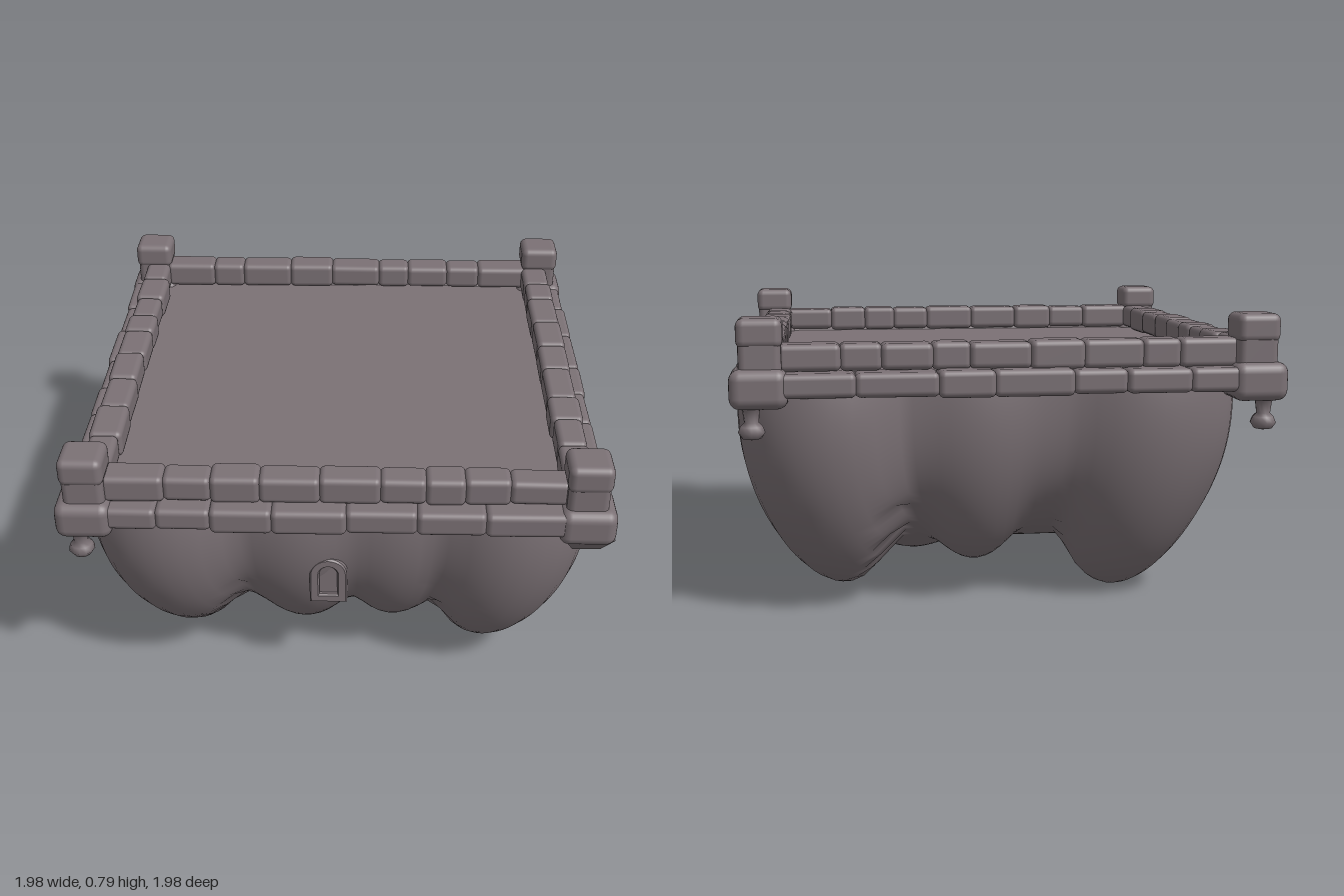
import * as THREE from 'three';
import { RoundedBoxGeometry } from 'three/addons/geometries/RoundedBoxGeometry.js';

const stone = new THREE.MeshStandardMaterial({ color: 0x7b7175 });
stone.name = 'warm grey stone';

let seed = 7;
const rnd = () => (seed = (seed * 16807) % 2147483647) / 2147483647;

function add(parent, name, geometry, x = 0, y = 0, z = 0) {
  const mesh = new THREE.Mesh(geometry, stone);
  mesh.name = name;
  mesh.position.set(x, y, z);
  parent.add(mesh);
  return mesh;
}

// Rock lobes: x, z, horizontal radius, lowest point
const LOBES = [
  [-0.46, 0.46, 0.23, 0.05], [0.475, 0.485, 0.23, 0.05],
  [0.41, -0.38, 0.265, 0.0], [-0.455, -0.45, 0.23, 0.1],
  [0.0, -0.39, 0.25, 0.0], [-0.43, -0.10, 0.21, 0.09],
  [-0.44, 0.17, 0.19, 0.11], [-0.12, 0.44, 0.19, 0.12],
  [0.16, 0.45, 0.18, 0.11], [0.44, 0.08, 0.2, 0.1],
  [-0.24, 0.24, 0.26, 0.1], [0.25, 0.25, 0.26, 0.1],
];
const TOP = 0.61, LOBE_Y = 0.51;

// Distance from the rock's top centre to its skin along a direction
function rockRadius(d) {
  const p = 26, side = 0.618, depth = 0.5;
  const flat = (Math.abs(d.x / side) ** 10 + Math.abs(d.z / side) ** 10) ** 0.1;
  const core = (flat ** 3 + Math.abs(d.y / depth) ** 3) ** (-1 / 3);
  let sum = core ** p;
  for (const [x, z, r, low] of LOBES) {
    const h = LOBE_Y - low;
    const D = new THREE.Vector3(d.x / r, d.y / h, d.z / r);
    const O = new THREE.Vector3(-x / r, (TOP - LOBE_Y) / h, -z / r);
    const a = D.dot(D), b = O.dot(D), disc = b * b - a * (O.dot(O) - 1);
    if (disc <= 0) continue;
    const t = (-b + Math.sqrt(disc)) / a;
    if (t > 0) sum += t ** p;
  }
  return sum ** (1 / p) * 0.985;
}

// Point on the rock's skin, drawn inward towards the underside
function rockPoint(direction) {
  const q = direction.clone().multiplyScalar(rockRadius(direction));
  const taper = 1 - 0.13 * (q.y / TOP) ** 2;
  return q.set(q.x * taper, Math.max(0, q.y + TOP), q.z * taper);
}

// Lobed rock as rings running from the rim down to the underside
function rockGeometry() {
  const N = 128, M = 56, pos = [], idx = [];
  for (let j = 0; j <= M; j++) {
    const e = (j / M) * Math.PI / 2;
    for (let i = 0; i < N; i++) {
      const a = (i / N) * Math.PI * 2;
      const q = rockPoint(new THREE.Vector3(Math.cos(e) * Math.cos(a), -Math.sin(e), Math.cos(e) * Math.sin(a)));
      pos.push(q.x, q.y, q.z);
      if (j < M) {
        const k = (i + 1) % N, p = j * N;
        idx.push(p + i, p + k, p + N + i, p + k, p + N + k, p + N + i);
      }
    }
  }
  const g = new THREE.BufferGeometry();
  g.setAttribute('position', new THREE.Float32BufferAttribute(pos, 3));
  g.setIndex(idx);
  g.computeVertexNormals();
  return g;
}

// A row of uneven stones along local x
function course(parent, name, count, length, y, z, height, depth) {
  const weights = Array.from({ length: count }, () => 0.75 + rnd() * 0.5);
  const total = weights.reduce((a, b) => a + b, 0);
  let x = -length / 2;
  for (const weight of weights) {
    const w = (weight / total) * length;
    const h = height + (rnd() - 0.5) * 0.01, t = depth + (rnd() - 0.5) * 0.014;
    const s = add(parent, name, new RoundedBoxGeometry(w + 0.004, h, t, 3, 0.016), x + w / 2, y, z + (rnd() - 0.5) * 0.006);
    s.rotation.y = (rnd() - 0.5) * 0.03;
    x += w;
  }
}

function archShape(w, h) {
  const s = new THREE.Shape();
  s.moveTo(-w, -h);
  s.lineTo(w, -h);
  s.lineTo(w, h - w);
  s.absarc(0, h - w, w, 0, Math.PI, false);
  s.lineTo(-w, -h);
  return s;
}

export function createModel() {
  const model = new THREE.Group();
  model.name = 'floatingStonePlatform';
  const island = new THREE.Group();
  island.name = 'island';
  island.rotation.y = 0.713;
  model.add(island);

  add(island, 'rock', rockGeometry());
  add(island, 'floor', new THREE.BoxGeometry(1.22, 0.06, 1.22), 0, 0.628, 0);

  // Four walls: a wide ledge with a narrower parapet on top
  for (let k = 0; k < 4; k++) {
    const wall = new THREE.Group();
    wall.name = 'wall';
    wall.rotation.y = k * Math.PI / 2;
    island.add(wall);
    course(wall, 'ledgeStone', 7, 1.2, 0.632, 0.652, 0.066, 0.1);
    course(wall, 'parapetStone', 9, 1.18, 0.698, 0.618, 0.072, 0.082);
  }

  // Corner posts; three carry hanging knobs and one a tapered bracket
  for (const [sx, sz] of [[1, 1], [1, -1], [-1, -1], [-1, 1]]) {
    const post = new THREE.Group();
    post.name = 'cornerPost';
    post.position.set(sx * 0.638, 0, sz * 0.638);
    island.add(post);
    add(post, 'postBase', new RoundedBoxGeometry(0.145, 0.1, 0.145, 3, 0.028), 0, 0.625, 0);
    add(post, 'postShaft', new RoundedBoxGeometry(0.106, 0.12, 0.106, 2, 0.018), -sx * 0.004, 0.71, -sz * 0.004);
    add(post, 'postCap', new RoundedBoxGeometry(0.114, 0.075, 0.114, 3, 0.02), -sx * 0.004, 0.762, -sz * 0.004);
    if (sx < 0 && sz > 0) {
      const bracket = new THREE.CylinderGeometry(0.092, 0.05, 0.05, 4).rotateY(Math.PI / 4);
      add(post, 'bracket', bracket, 0.005, 0.567, 0.005);
    } else {
      const profile = [[0, 0.495], [0.024, 0.5], [0.034, 0.515], [0.028, 0.53], [0.018, 0.54], [0.022, 0.57], [0.04, 0.59]];
      const knob = new THREE.LatheGeometry(profile.map(([x, y]) => new THREE.Vector2(x, y)), 12);
      add(post, 'hangingKnob', knob, sx * 0.02, 0, sz * 0.02);
    }
  }

  // Small arched window set in the rock's side
  const windowGroup = new THREE.Group();
  windowGroup.name = 'archWindow';
  const spot = rockPoint(new THREE.Vector3(-0.6, -0.22, -0.02).normalize());
  windowGroup.position.set(spot.x + 0.005, spot.y, spot.z);
  windowGroup.rotation.y = -Math.PI / 2;
  island.add(windowGroup);
  const frame = archShape(0.046, 0.068);
  frame.holes.push(archShape(0.028, 0.05));
  add(windowGroup, 'windowFrame', new THREE.ExtrudeGeometry(frame, {
    depth: 0.05, bevelThickness: 0.005, bevelSize: 0.004, bevelSegments: 1, curveSegments: 8,
  }), 0, 0, -0.03);
  add(windowGroup, 'windowPane', new THREE.ShapeGeometry(archShape(0.03, 0.052), 8), 0, 0, 0.012);
  return model;
}
